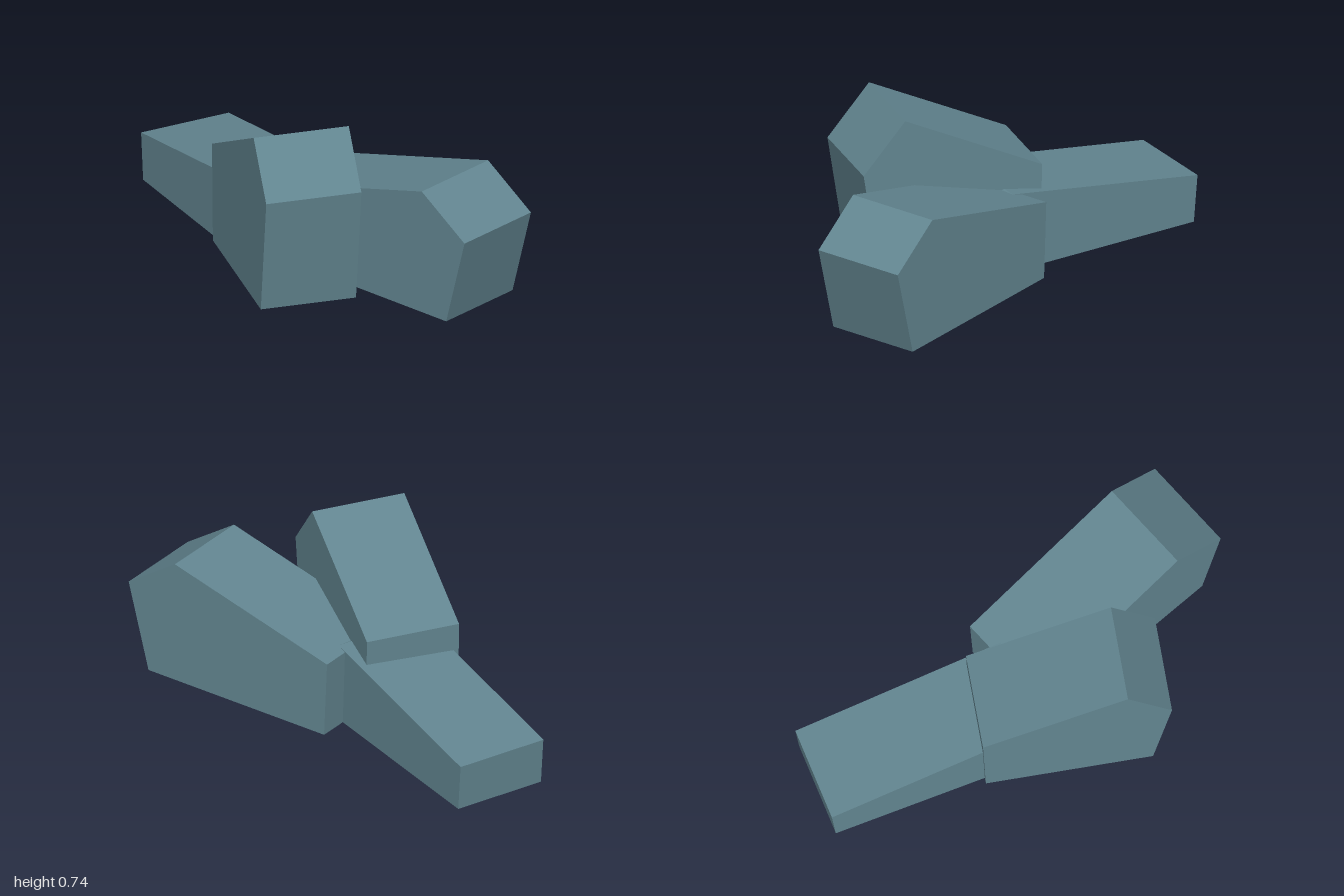
import * as THREE from 'three';

// Three wedge-shaped slabs: one side profile, stretched and turned about y.
export function createModel() {
  const model = new THREE.Group();
  const slate = new THREE.MeshStandardMaterial({ color: 0x628590 });
  slate.name = 'slateBlue';
  const width = 0.414;

  // x, z: middle of the low end; turn: degrees towards +z
  function addSlab(name, x, z, turn, length, low, ridge, end) {
    const shape = new THREE.Shape([
      [0.015 * length, 0],
      [0.9 * length, 0],
      [length, end],
      [0.767 * length, ridge],
      [0, low],
    ].map(([u, y]) => new THREE.Vector2(u, y)));
    const geometry = new THREE.ExtrudeGeometry(shape, { depth: width, bevelEnabled: false });
    geometry.translate(0, 0, -width / 2);
    const slab = new THREE.Mesh(geometry, slate);
    slab.name = name;
    slab.position.set(x, 0, z);
    slab.rotation.y = -THREE.MathUtils.degToRad(turn);
    model.add(slab);
  }

  addSlab('tallFrontSlab', -0.27, 0.03, 20.1, 0.8, 0.44, 0.742, 0.52);
  addSlab('lowSideSlab', -0.97, -0.1, 8.4, 1.2, 0.21, 0.355, 0.25);
  addSlab('longBackSlab', -0.06, -0.0975, -11.5, 1.03, 0.343, 0.555, 0.39);
  return model;
}
